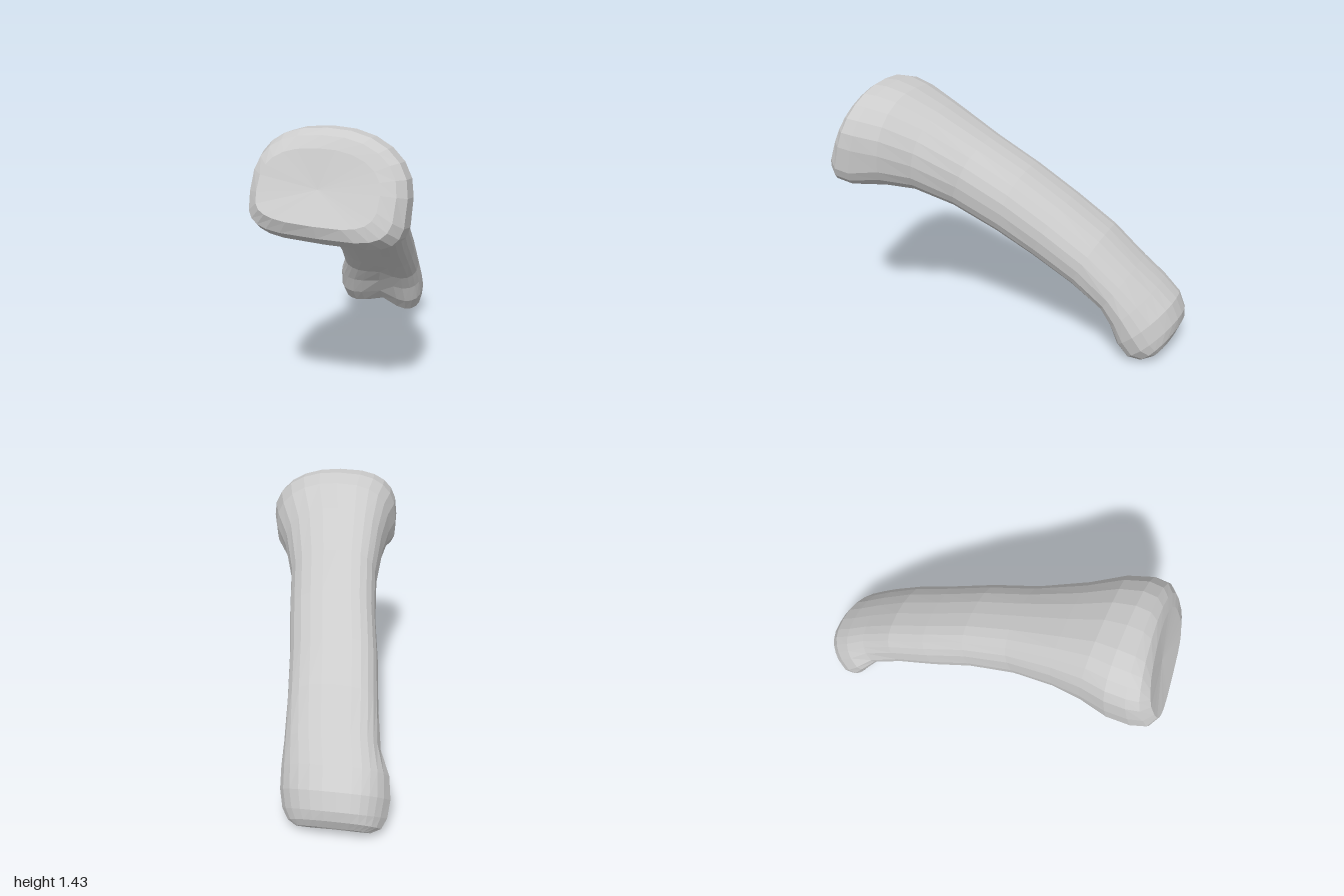
import * as THREE from 'three';

// Cross-sections from the small grooved end to the broad base:
// [topZ, topY, bottomZ, bottomY, minX, maxX, groove depth, underside roundness, top taper]
const SECTIONS = [
  [-0.975, 0.11, -0.875, 0.015, -0.37, 0.01, 0.03, 0.7, 0.03],
  [-0.998, 0.17, -0.815, -0.008, -0.42, 0.055, 0.06, 0.65, 0.04],
  [-0.998, 0.23, -0.745, 0.012, -0.445, 0.09, 0.07, 0.6, 0.06],
  [-0.96, 0.32, -0.69, 0.085, -0.455, 0.11, 0.06, 0.6, 0.06],
  [-0.87, 0.41, -0.645, 0.185, -0.44, 0.115, 0.04, 0.7, 0.05],
  [-0.75, 0.52, -0.59, 0.27, -0.385, 0.115, 0.03, 0.75, 0.02],
  [-0.57, 0.69, -0.42, 0.395, -0.35, 0.13, 0, 0.75, 0],
  [-0.35, 0.85, -0.20, 0.53, -0.32, 0.16, 0, 0.75, 0],
  [-0.12, 1.01, 0.00, 0.65, -0.28, 0.20, 0, 0.75, 0],
  [0.12, 1.15, 0.25, 0.77, -0.255, 0.24, 0, 0.75, 0],
  [0.38, 1.305, 0.45, 0.84, -0.265, 0.32, 0, 0.8, 0],
  [0.55, 1.40, 0.60, 0.87, -0.285, 0.405, 0, 0.7, 0],
  [0.66, 1.433, 0.77, 0.88, -0.31, 0.445, 0, 0.47, 0],
  [0.74, 1.433, 0.89, 0.895, -0.305, 0.44, 0, 0.47, 0],
  [0.785, 1.405, 0.96, 0.94, -0.285, 0.40, 0, 0.5, 0],
  [0.82, 1.35, 0.975, 1.0, -0.235, 0.33, 0, 0.6, 0],
];
const SIDES = 24;
const WAIST = 0.45; // height of the widest point within a section
const power = (v, p) => Math.sign(v) * Math.abs(v) ** p;

// One ring between its top and bottom points: fuller on the model's right,
// sloping on its left, with its own roundness underneath
function ring([tz, ty, bz, by, x0, x1, groove, under, taper]) {
  const points = [];
  const length = Math.hypot(ty - by, tz - bz);
  for (let j = 0; j < SIDES; j++) {
    const a = (j / SIDES) * Math.PI * 2;
    const c = Math.cos(a), s = Math.sin(a);
    const p = s < 0 ? under : c > 0 ? 0.95 : 0.72;
    const u = power(c, p), v = power(s, p);
    let t = WAIST + v * (v > 0 ? 1 - WAIST : WAIST);
    // Underside: valley between the two knuckles, and a slight sideways tilt
    if (v < 0) {
      const lift = groove * Math.exp(-((u / 0.42) ** 2)) + 0.028 * (0.75 - u);
      t -= (v * lift) / length;
    }
    const up = Math.max(v, 0);
    const x = (x0 + x1) / 2 + u * ((x1 - x0) / 2 - taper * up) - 0.03 * up * (1 - Math.abs(u));
    points.push(new THREE.Vector3(x, by + (ty - by) * t, bz + (tz - bz) * t));
  }
  return points;
}

function loftGeometry(startPole, endPole) {
  const rings = SECTIONS.map(ring);
  // The base face leans forward on the model's right
  rings.slice(-3).forEach((r, i) => r.forEach((q) => {
    q.z += 0.053 * (i + 1) * (0.1 - Math.max(q.x, -0.2));
  }));
  const vertices = rings.flat();
  const first = vertices.push(startPole) - 1;
  const last = vertices.push(endPole) - 1;
  const index = [];
  for (let i = 0; i < rings.length; i++) {
    for (let j = 0; j < SIDES; j++) {
      const k = (j + 1) % SIDES;
      const a = i * SIDES + j, b = i * SIDES + k;
      if (i === 0) index.push(first, b, a);
      if (i === rings.length - 1) index.push(last, a, b);
      else index.push(a, b, b + SIDES, a, b + SIDES, a + SIDES);
    }
  }
  const indexed = new THREE.BufferGeometry().setFromPoints(vertices);
  indexed.setIndex(index);
  const geometry = indexed.toNonIndexed();
  geometry.computeVertexNormals();
  return geometry;
}

export function createModel() {
  const group = new THREE.Group();
  group.name = 'fingerBone';
  // Knuckle, shaft and dished base as one continuous surface
  const bone = new THREE.Mesh(
    loftGeometry(new THREE.Vector3(-0.17, 0.08, -0.93), new THREE.Vector3(0.04, 1.17, 0.888)),
    new THREE.MeshStandardMaterial({ color: 0xcccccc, flatShading: true })
  );
  bone.name = 'bone';
  group.add(bone);
  return group;
}
